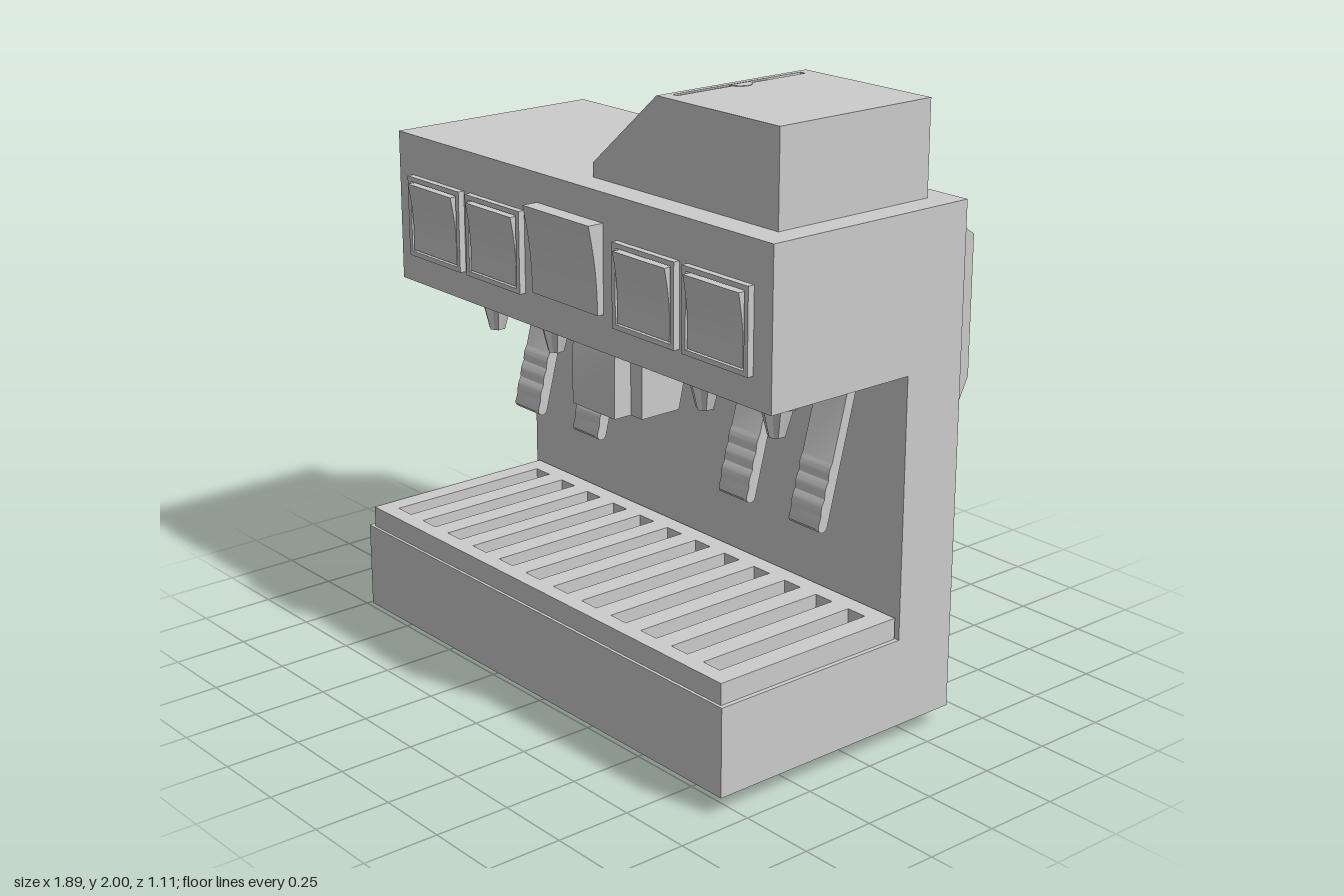
import * as THREE from 'three';
import { toCreasedNormals } from 'three/addons/utils/BufferGeometryUtils.js';

const CX = 0.035; // middle of the cabinet

export function createModel() {
  const model = new THREE.Group();
  const material = new THREE.MeshStandardMaterial({ color: 0xcccccc });

  const add = (name, geometry, x = 0, y = 0, z = 0, parent = model) => {
    const mesh = new THREE.Mesh(geometry, material);
    mesh.name = name;
    mesh.position.set(x, y, z);
    parent.add(mesh);
    return mesh;
  };
  const group = (name, x = 0, y = 0, z = 0) => {
    const g = new THREE.Group();
    g.name = name;
    g.position.set(x, y, z);
    model.add(g);
    return g;
  };
  const shapeOf = (pts) => new THREE.Shape(pts.map(([a, b]) => new THREE.Vector2(a, b)));
  const rect = (x0, y0, x1, y1) => shapeOf([[x0, y0], [x1, y0], [x1, y1], [x0, y1]]);
  const extrude = (shape, depth) =>
    new THREE.ExtrudeGeometry(shape, { depth, bevelEnabled: false, curveSegments: 10 });
  // Side profile of [z, y] points, extruded along x and centred on x = 0
  const sideExtrude = (pts, width) =>
    toCreasedNormals(extrude(shapeOf(pts), width).translate(0, 0, -width / 2).rotateY(-Math.PI / 2), 0.5);
  const lathe = (pts, sides) =>
    toCreasedNormals(new THREE.LatheGeometry(pts.map(([r, y]) => new THREE.Vector2(r, y)), sides), 0.6);

  // Cabinet: base, rear column and head in one C-shaped profile
  add('cabinet', sideExtrude([
    [0.555, 0.06], [0.555, 0.35], [-0.165, 0.35], [-0.165, 1.2],
    [0.38, 1.2], [0.38, 1.7], [-0.39, 1.7], [-0.39, 0.06],
  ], 1.82), CX);

  // Drip grate with twelve slots
  const grate = rect(-0.855, -0.545, 0.93, 0.16);
  for (let i = 0; i < 12; i++) {
    const x = -0.755 + i * 0.1436;
    grate.holes.push(rect(x - 0.036, -0.49, x + 0.036, 0.1));
  }
  add('dripGrate', extrude(grate, 0.07).rotateX(-Math.PI / 2), 0, 0.35, 0);

  // Feet
  const footGeometry = lathe([[0, 0], [0.03, 0.003], [0.048, 0.018], [0.055, 0.035], [0.055, 0.065]], 10);
  for (const x of [-0.765, 0.825])
    for (const z of [0.44, -0.285]) add('foot', footGeometry, x, 0, z);

  // Bean hopper with slotted lid and slider
  const hopper = shapeOf([[0.03, 1.7], [0.86, 1.7], [0.86, 1.982], [0.309, 1.982], [0.03, 1.745]]);
  add('hopper', extrude(hopper, 0.595), 0, 0, -0.31);
  const lid = rect(0.33, -0.285, 0.86, 0.31);
  lid.holes.push(rect(0.35, -0.24, 0.37, 0.27));
  add('hopperLid', extrude(lid, 0.018).rotateX(-Math.PI / 2), 0, 1.982, 0);
  add('lidSlope', extrude(shapeOf([[0.309, 1.982], [0.33, 1.982], [0.33, 2]]), 0.595), 0, 0, -0.31);
  add('lidSlider', new THREE.BoxGeometry(0.016, 0.012, 0.36), 0.36, 1.99, 0.05);
  add('sliderGrip', new THREE.CylinderGeometry(0.04, 0.04, 0.012, 12, 1, false, 0, Math.PI), 0.36, 1.996, -0.012);

  // Push button on the roof
  add('roofButton', lathe([
    [0.05, 0], [0.05, 0.022], [0.056, 0.022], [0.056, 0.03], [0.03, 0.042], [0, 0.046],
  ], 8), -0.11, 1.7, -0.015);

  // Curved face profile used by the key pads and the display
  const padProfile = (y0, y1, zBottom, zTop) => {
    const pts = [[0.37, y0]];
    for (let i = 0; i <= 10; i++) {
      const t = i / 10;
      pts.push([zBottom + (zTop - zBottom) * t - 0.008 * Math.sin(Math.PI * t), y0 + (y1 - y0) * t]);
    }
    pts.push([0.37, y1]);
    return pts.reverse();
  };

  // Key pads in raised frames
  const frame = rect(-0.1425, -0.134, 0.1425, 0.134);
  frame.holes.push(rect(-0.126, -0.118, 0.126, 0.118));
  const frameGeometry = extrude(frame, 0.022);
  const padGeometry = sideExtrude(padProfile(-0.113, 0.113, 0.4, 0.418), 0.24);
  for (const x of [-0.658, -0.338, 0.405, 0.725]) {
    const pad = group('keyPad', x, 1.432, 0);
    add('keyFrame', frameGeometry, 0, 0, 0.38, pad);
    add('keyFace', padGeometry, 0, 0, 0, pad);
  }
  add('display', sideExtrude(padProfile(1.32, 1.605, 0.402, 0.435), 0.325), 0.0325);

  // Spouts with their levers
  const collar = lathe([[0, -0.035], [0.09, -0.035], [0.125, -0.022], [0.132, 0]], 16);
  const nut = new THREE.CylinderGeometry(0.09, 0.08, 0.045, 8).toNonIndexed();
  nut.computeVertexNormals();
  // Fluted nozzle: every other side line of a cone is drawn in
  const nozzle = new THREE.CylinderGeometry(0.058, 0.028, 0.11, 12).toNonIndexed();
  const np = nozzle.attributes.position;
  for (let i = 0; i < np.count; i++) {
    const step = Math.round(Math.atan2(np.getX(i), np.getZ(i)) / (Math.PI / 6));
    if (step % 2) np.setXYZ(i, np.getX(i) * 0.8, np.getY(i), np.getZ(i) * 0.8);
  }
  nozzle.computeVertexNormals();

  // Lever: a flat bar hanging from a pivot, with ripples on the grip
  const leverLength = 0.49;
  const leverPts = [[-0.017, 0]];
  for (let i = 0; i <= 6; i++) {
    const a = Math.PI + (i / 6) * Math.PI;
    leverPts.push([0.019 * Math.cos(a), -leverLength + 0.019 * Math.sin(a)]);
  }
  for (let i = 0; i <= 24; i++) {
    const t = i / 24;
    leverPts.push([0.017 + 0.005 * Math.abs(Math.sin(3 * Math.PI * t)), -leverLength + 0.03 + 0.17 * t]);
  }
  leverPts.push([0.017, 0]);
  const leverGeometry = sideExtrude(leverPts, 0.13);
  const pivotGeometry = new THREE.CylinderGeometry(0.042, 0.042, 0.13, 16).rotateZ(Math.PI / 2);

  for (const x of [-0.66, -0.337, 0.403, 0.725]) {
    const spout = group('spout', x, 1.2, 0.155);
    add('spoutCollar', collar, 0, 0, 0, spout);
    add('spoutNut', nut, 0, -0.05, 0, spout);
    add('spoutNozzle', nozzle, 0, -0.118, 0, spout);
    const lever = group('lever', x, 1.195, -0.105);
    lever.rotation.x = -0.255;
    add('leverBar', leverGeometry, 0, 0, 0, lever);
    add('leverPivot', pivotGeometry, 0, 0, 0, lever);
  }

  // Central outlet: a block between two set-back cheeks
  add('outletCheeks', sideExtrude([
    [0.23, 0.95], [0.23, 1.2], [-0.04, 1.2], [-0.05, 1.06], [0.055, 1.06], [0.08, 0.95],
  ], 0.325), 0.0325);
  add('outletBlock', sideExtrude([
    [0.295, 0.95], [0.295, 1.14], [0.275, 1.2], [0.2, 1.2], [0.2, 0.95],
  ], 0.21), 0.035);

  // Rocker switch on the right flank
  const rocker = group('rockerSwitch', -0.875, 1.452, -0.175);
  add('switchFrame', new THREE.BoxGeometry(0.02, 0.205, 0.135), -0.01, 0, 0, rocker);
  add('switchBezel', new THREE.BoxGeometry(0.028, 0.185, 0.105), -0.034, 0, 0, rocker);
  add('switchRocker', extrude(shapeOf([
    [-0.04, -0.08], [-0.04, 0.08], [-0.055, 0.085], [-0.06, 0], [-0.075, -0.08],
  ].reverse()), 0.07), 0, 0, -0.035, rocker);

  // Rear service panel: the outline flares out where it meets the cabinet
  const panel = rect(-0.76, 1.09, 0.835, 1.545);
  for (let i = -2; i <= 2; i++) {
    const x = CX + i * 0.14;
    panel.holes.push(rect(x - 0.034, 1.18, x + 0.034, 1.46));
  }
  const panelGeometry = extrude(panel, 0.155);
  const pp = panelGeometry.attributes.position;
  for (let i = 0; i < pp.count; i++) {
    const x = pp.getX(i);
    if (pp.getZ(i) > 0.1 && Math.abs(x - CX) > 0.7)
      pp.setXY(i, x > 0 ? 0.92 : -0.84, pp.getY(i) > 1.3 ? 1.62 : 1.01);
  }
  panelGeometry.computeVertexNormals();
  add('rearPanel', panelGeometry, 0, 0, -0.545);

  // Panel screws with a cross recess
  const screwShape = new THREE.Shape().absarc(0, 0, 0.032, 0, Math.PI * 2);
  const a = 0.005, b = 0.02;
  screwShape.holes.push(shapeOf([
    [a, a], [b, a], [b, -a], [a, -a], [a, -b], [-a, -b],
    [-a, -a], [-b, -a], [-b, a], [-a, a], [-a, b], [a, b],
  ]));
  const screwGeometry = toCreasedNormals(extrude(screwShape, 0.012), 0.7);
  for (const x of [-0.695, 0.77])
    for (const y of [1.16, 1.485]) add('panelScrew', screwGeometry, x, y, -0.555);

  // Water inlet: an open nut low on the back
  const inlet = lathe([
    [0.058, 0], [0.058, 0.065], [0.08, 0.065], [0.092, 0.055], [0.092, 0],
  ].reverse(), 8).rotateY(Math.PI / 8).rotateX(-Math.PI / 2);
  add('waterInlet', inlet, -0.64, 0.312, -0.39);

  return model;
}
